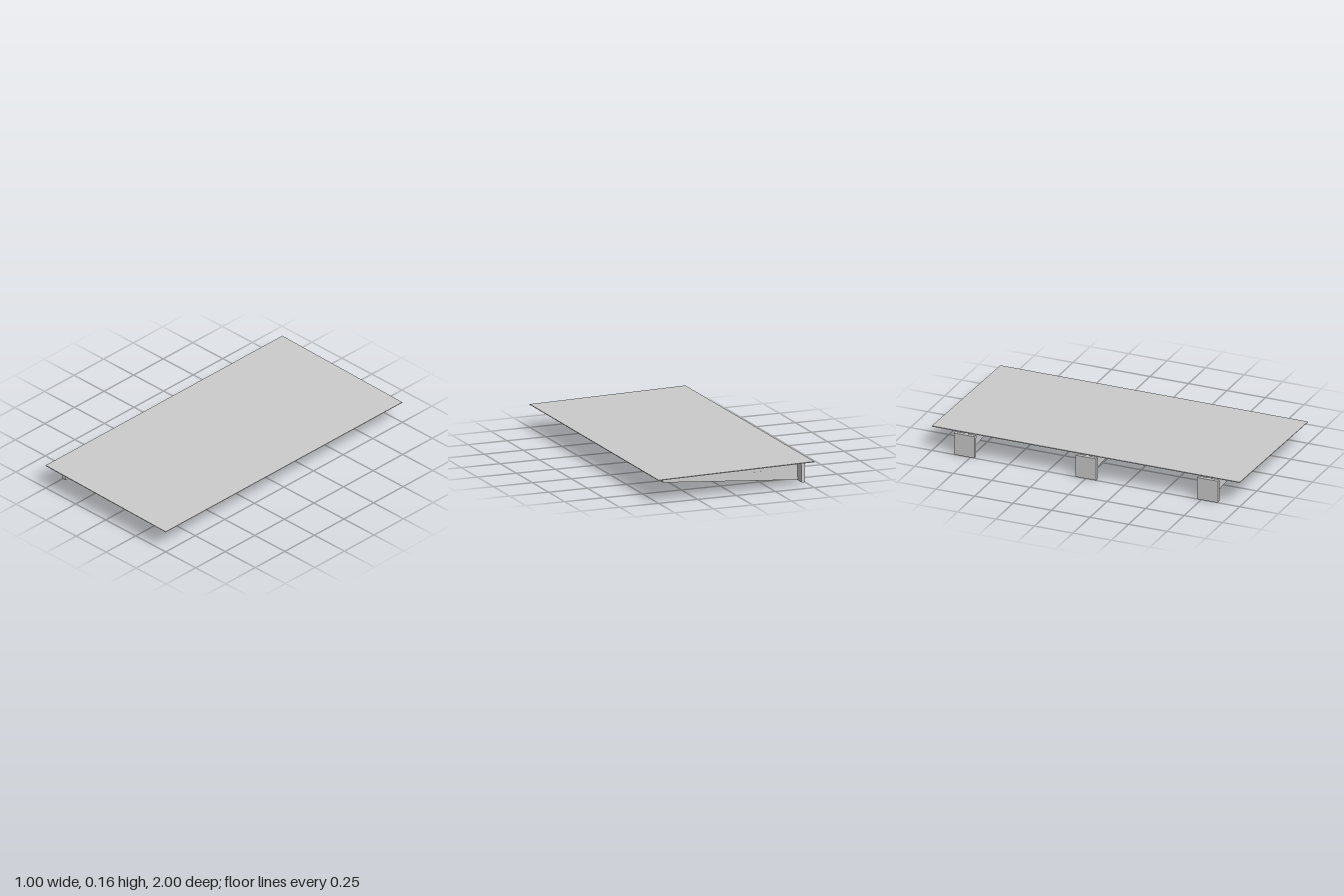
import * as THREE from 'three';

const grey = new THREE.MeshStandardMaterial({ color: 0xcccccc, flatShading: true });

// Side profile in x-y, extruded to a width centred on z
function slab(name, points, width) {
  const shape = new THREE.Shape(points.map(([x, y]) => new THREE.Vector2(x, y)));
  const geometry = new THREE.ExtrudeGeometry(shape, { depth: width, bevelEnabled: false });
  geometry.translate(0, 0, -width / 2);
  const mesh = new THREE.Mesh(geometry, grey);
  mesh.name = name;
  return mesh;
}

function createBracket() {
  const bracket = new THREE.Group();
  bracket.name = 'bracket';

  // Wall plate and tapering cantilever arm
  bracket.add(slab('wallPlate', [[-0.5, 0], [-0.477, 0.001], [-0.475, 0.139], [-0.5, 0.14]], 0.135));
  bracket.add(slab('arm', [[-0.477, 0.004], [0.39, 0.07], [0.39, 0.124], [-0.475, 0.139]], 0.02));

  // Small wedge key set almost flush in the arm
  bracket.add(slab('wedgeKey', [[-0.262, 0.065], [-0.18, 0.073], [-0.18, 0.076], [-0.262, 0.08]], 0.022));

  // Point fixings: flared heads on short stems that carry the panel
  const profile = [[0, 0], [0.004, 0], [0.004, 0.009], [0.01, 0.018], [0.01, 0.021], [0, 0.021]];
  const fixing = new THREE.LatheGeometry(profile.map(([r, y]) => new THREE.Vector2(r, y)), 12);
  for (const x of [-0.358, -0.053, 0.252]) {
    const mesh = new THREE.Mesh(fixing, grey);
    mesh.name = 'pointFixing';
    mesh.position.set(x, 0.1305 - 0.018 * x - 0.001, 0);
    mesh.rotation.z = -0.018;
    bracket.add(mesh);
  }
  return bracket;
}

export function createModel() {
  const model = new THREE.Group();
  model.name = 'canopy';

  // Thin sloping roof panel
  model.add(slab('roofPanel', [[-0.5, 0.155], [0.5, 0.138], [0.5, 0.142], [-0.5, 0.16]], 2));

  // Three brackets along the wall
  for (const z of [-0.79, 0, 0.79]) {
    const bracket = createBracket();
    bracket.position.z = z;
    model.add(bracket);
  }
  return model;
}
